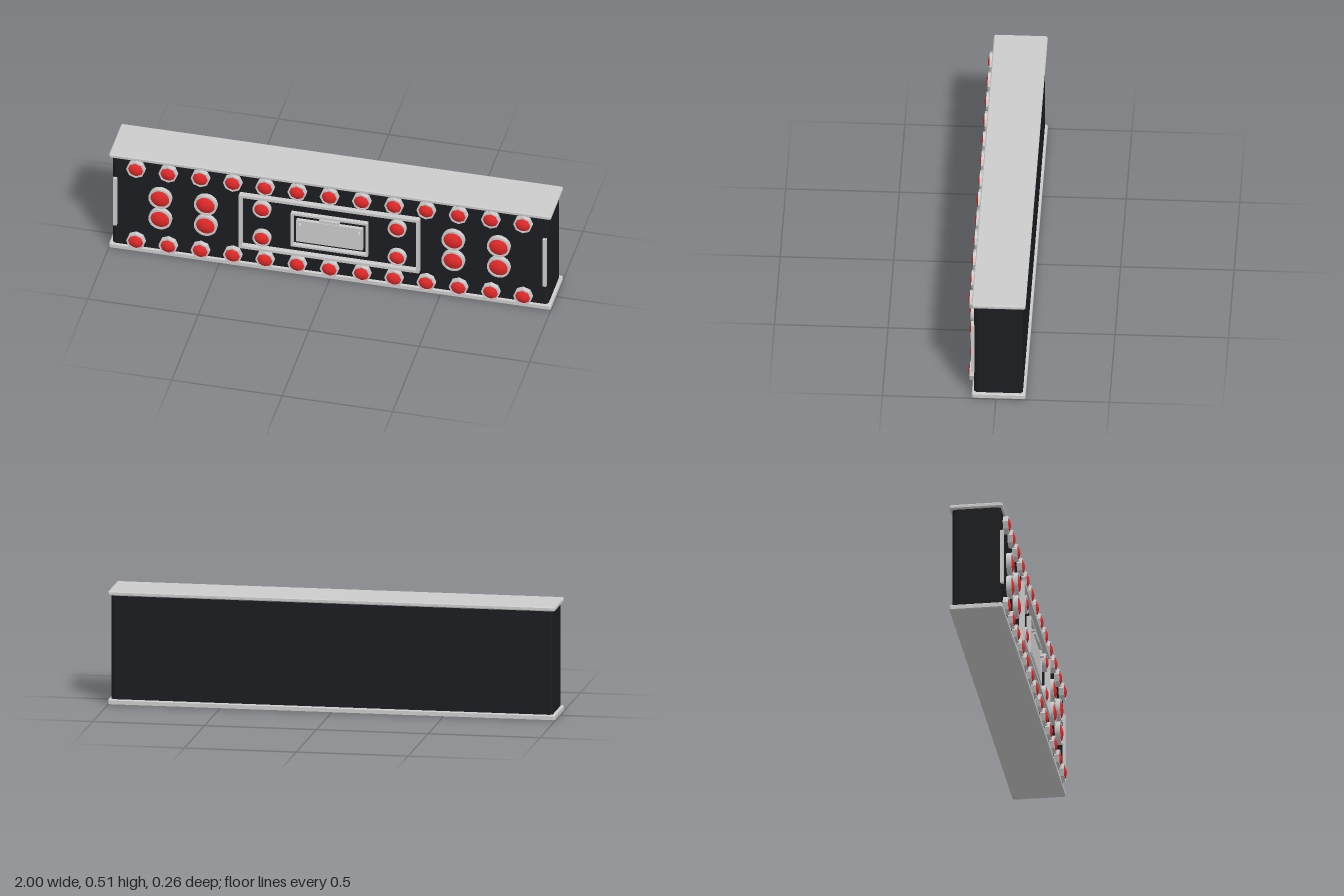
import * as THREE from 'three';

const grey = new THREE.MeshStandardMaterial({ color: 0xcccccc });
const greyFlat = new THREE.MeshStandardMaterial({ color: 0xcccccc, flatShading: true });
const black = new THREE.MeshStandardMaterial({ color: 0x1b1d20 });
const red = new THREE.MeshStandardMaterial({ color: 0xe62a2a });

const FACE = 0.097; // z of the front of the cabinet

export function createModel() {
  const model = new THREE.Group();
  model.name = 'lightPanel';

  function add(name, geometry, material, x = 0, y = 0, z = 0, parent = model) {
    const mesh = new THREE.Mesh(geometry, material);
    mesh.name = name;
    mesh.position.set(x, y, z);
    parent.add(mesh);
    return mesh;
  }

  // Rectangle outline with cut corners
  function rect(w, h, cut, Type = THREE.Shape) {
    const a = w / 2, b = h / 2, c = cut;
    const pts = c > 0
      ? [[a - c, -b], [a, c - b], [a, b - c], [a - c, b], [c - a, b], [-a, b - c], [-a, c - b], [c - a, -b]]
      : [[a, -b], [a, b], [-a, b], [-a, -b]];
    return new Type(pts.map(p => new THREE.Vector2(...p)));
  }

  // Upright slab with chamfered rims, standing on y = 0
  function slab(w, d, h, cut, bevel) {
    const g = new THREE.ExtrudeGeometry(rect(w - 2 * bevel, d - 2 * bevel, cut), {
      depth: h - 2 * bevel, bevelEnabled: bevel > 0,
      bevelSize: bevel, bevelThickness: bevel, bevelSegments: 1,
    });
    return g.rotateX(-Math.PI / 2).translate(0, bevel, 0);
  }

  // Rectangular moulding
  function frame(w, h, t, depth) {
    const s = rect(w, h, 0);
    s.holes.push(rect(w - 2 * t, h - 2 * t, 0, THREE.Path));
    return new THREE.ExtrudeGeometry(s, { depth, bevelEnabled: false });
  }

  // Cabinet with trim plates above and below
  add('cabinet', slab(1.972, 0.215, 0.47, 0.011, 0), black, 0, 0.022, -0.0105);
  add('bottomTrim', slab(2, 0.237, 0.025, 0.004, 0.004), grey, 0, 0, -0.0115);
  add('topTrim', slab(2, 0.237, 0.019, 0.004, 0.004), grey, 0, 0.491, -0.0115);

  // Lamp: a bezel ring holding a shallow domed lens
  function lampParts(r, sides) {
    const v = (x, y) => new THREE.Vector2(x, y);
    const inner = r * 0.82;
    const bezel = new THREE.LatheGeometry(
      [v(r, 0), v(r, 0.023), v(r, 0.023), v(inner, 0.023), v(inner, 0.023), v(inner, 0.012)], sides);
    const profile = [];
    for (let i = 0; i <= 5; i++) {
      const t = 1 - i / 5;
      profile.push(v(inner * t, 0.018 + 0.013 * (1 - t * t)));
    }
    const lens = new THREE.LatheGeometry(profile, 24);
    return [bezel.rotateX(Math.PI / 2), lens.rotateX(Math.PI / 2)];
  }
  const small = lampParts(0.0425, 8);
  const medium = lampParts(0.041, 24);
  const large = lampParts(0.052, 24);

  function lamp(name, [bezel, lens], x, y) {
    const g = new THREE.Group();
    g.name = name;
    g.position.set(x, y, FACE);
    add('bezel', bezel, bezel === small[0] ? greyFlat : grey, 0, 0, 0, g);
    add('lens', lens, red, 0, 0, 0, g);
    model.add(g);
  }

  // Rows of lamps along the top and bottom
  for (const y of [0.061, 0.453])
    for (let i = 0; i < 13; i++) lamp('rowLamp', small, -0.876 + i * 0.146, y);

  for (const s of [-1, 1]) {
    // Four large lamps on each side
    for (const x of [0.56, 0.766])
      for (const y of [0.202, 0.313]) lamp('sideLamp', large, s * x, y);
    // Lamps inside the centre frame
    for (const y of [0.176, 0.331]) lamp('centreLamp', medium, s * 0.306, y);
    // Thin upright strip at each end
    add('endStrip', new THREE.BoxGeometry(0.017, 0.255, 0.015), grey, s * 0.972, 0.256, 0.1025);
  }

  // Centre frames and name plate
  add('outerFrame', frame(0.816, 0.288, 0.013, 0.027), grey, 0, 0.256, 0.096);
  add('innerFrame', frame(0.348, 0.18, 0.01, 0.022), grey, 0, 0.248, 0.096);
  add('plate', new THREE.BoxGeometry(0.3, 0.115, 0.018), grey, 0, 0.244, 0.105);
  add('plateTab', new THREE.BoxGeometry(0.092, 0.014, 0.024), grey, 0, 0.315, 0.108);

  // Plate screws
  const screw = new THREE.CylinderGeometry(0.006, 0.006, 0.02, 12).rotateX(Math.PI / 2);
  for (const s of [-1, 1]) add('screw', screw, grey, s * 0.134, 0.282, 0.122);

  return model;
}
